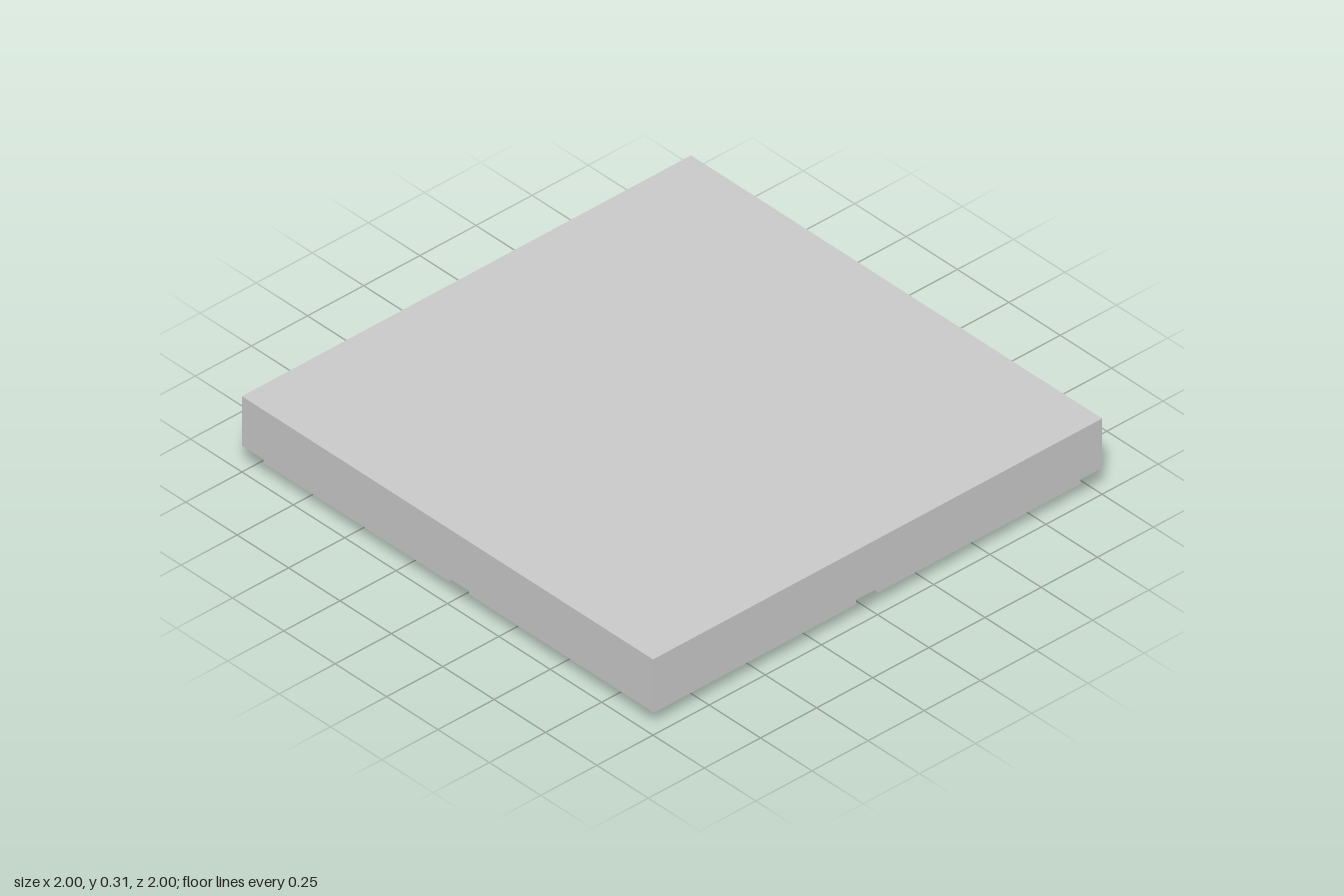
import * as THREE from 'three';

const material = new THREE.MeshStandardMaterial({ color: 0xcccccc, flatShading: true });

// Square block between two heights; the bottom may be narrower than the top
function block(name, topWidth, bottomWidth, y0, y1) {
  const geometry = new THREE.BoxGeometry(topWidth, y1 - y0, topWidth);
  const p = geometry.attributes.position;
  const k = bottomWidth / topWidth;
  for (let i = 0; i < p.count; i++) {
    if (p.getY(i) < 0) p.setXYZ(i, p.getX(i) * k, p.getY(i), p.getZ(i) * k);
  }
  geometry.computeVertexNormals();
  const mesh = new THREE.Mesh(geometry, material);
  mesh.name = name;
  mesh.position.y = (y0 + y1) / 2;
  return mesh;
}

export function createModel() {
  const model = new THREE.Group();
  model.name = 'basePlate';

  // Flat slab on top
  model.add(block('slab', 2, 2, 0.107, 0.307));

  // Four stepped feet, one under each quarter
  for (const x of [-0.5, 0.5]) {
    for (const z of [-0.5, 0.5]) {
      const foot = new THREE.Group();
      foot.name = 'foot';
      foot.position.set(x, 0, z);
      foot.add(block('footStep', 0.9, 0.9, 0.04, 0.107));
      foot.add(block('footBevel', 0.846, 0.788, 0, 0.04));
      model.add(foot);
    }
  }
  return model;
}
